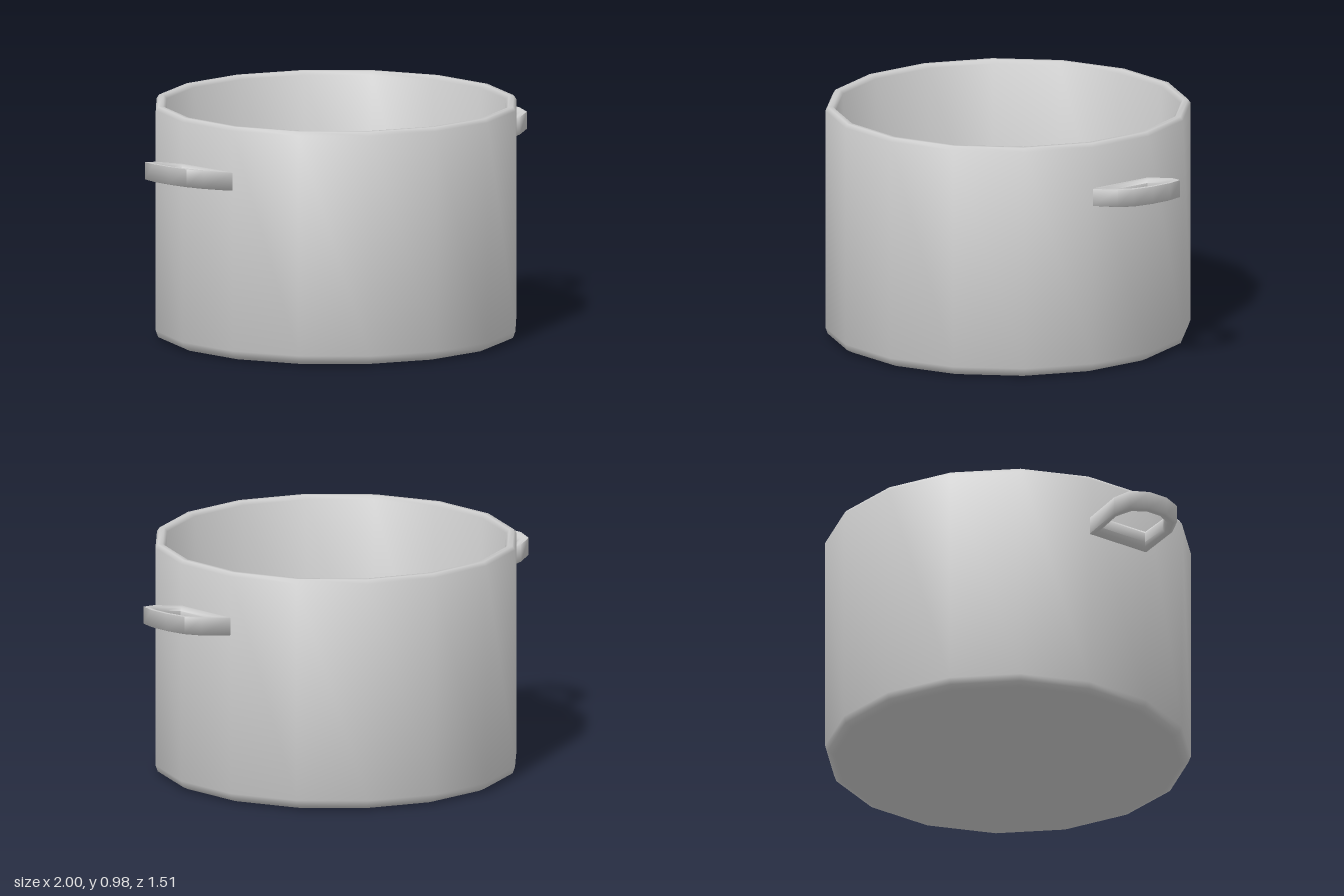
import * as THREE from 'three';
import { toCreasedNormals } from 'three/addons/utils/BufferGeometryUtils.js';

const material = new THREE.MeshStandardMaterial({ color: 0xcccccc });

// Closed hand loop, lofted between an outer and an inner outline
function handleGeometry() {
  // [outer reach, outer half width, inner reach, inner half width]
  const half = [
    [0.735, 0.147, 0.778, 0.112],
    [0.91, 0.151, 0.885, 0.12],
    [0.98, 0.122, 0.945, 0.085],
    [1.01, 0.045, 0.97, 0.03],
  ];
  const mirrored = half.map(([a, b, c, d]) => [a, -b, c, -d]).reverse();
  const ring = [...half, ...mirrored];
  // Bar section, tall outside and rounded inside: [fraction from outer to inner, height]
  const section = [
    [0, -0.036], [0, 0.036], [0.3, 0.039], [0.75, 0.034],
    [1, 0.02], [1, -0.02], [0.75, -0.034], [0.3, -0.039],
  ];
  const n = section.length;
  const positions = [];
  const index = [];
  ring.forEach(([ou, ov, iu, iv], i) => {
    const next = (i + 1) % ring.length;
    section.forEach(([s, h], j) => {
      const u = THREE.MathUtils.lerp(ou, iu, s);
      // The loop rises gently away from the wall
      positions.push(u, 0.752 + (u - 0.735) * 0.175 + h, THREE.MathUtils.lerp(ov, iv, s));
      const k = (j + 1) % n;
      const a = i * n + j, b = i * n + k, c = next * n + k, d = next * n + j;
      index.push(a, c, b, a, d, c);
    });
  });
  const geometry = new THREE.BufferGeometry();
  geometry.setAttribute('position', new THREE.Float32BufferAttribute(positions, 3));
  geometry.setIndex(index);
  return toCreasedNormals(geometry, 1.4);
}

export function createModel() {
  const model = new THREE.Group();
  model.name = 'cookingPot';

  // Pot shell: base, outer wall, rim, inner wall and floor in one profile
  const profile = [
    [0, 0.003], [0.69, 0.003], [0.72, 0.006], [0.745, 0.018], [0.755, 0.045],
    [0.755, 0.965], [0.744, 0.981], [0.724, 0.981], [0.712, 0.965],
    [0.702, 0.04], [0, 0.04],
  ].map(([r, y]) => new THREE.Vector2(r, y));
  const pot = new THREE.Mesh(toCreasedNormals(new THREE.LatheGeometry(profile, 16), 1.1), material);
  pot.name = 'potBody';
  model.add(pot);

  // Two handles on opposite wall facets
  const handle = handleGeometry();
  ['leftHandle', 'rightHandle'].forEach((name, i) => {
    const mesh = new THREE.Mesh(handle, material);
    mesh.name = name;
    mesh.rotation.y = Math.PI / 16 + i * Math.PI;
    model.add(mesh);
  });

  return model;
}
